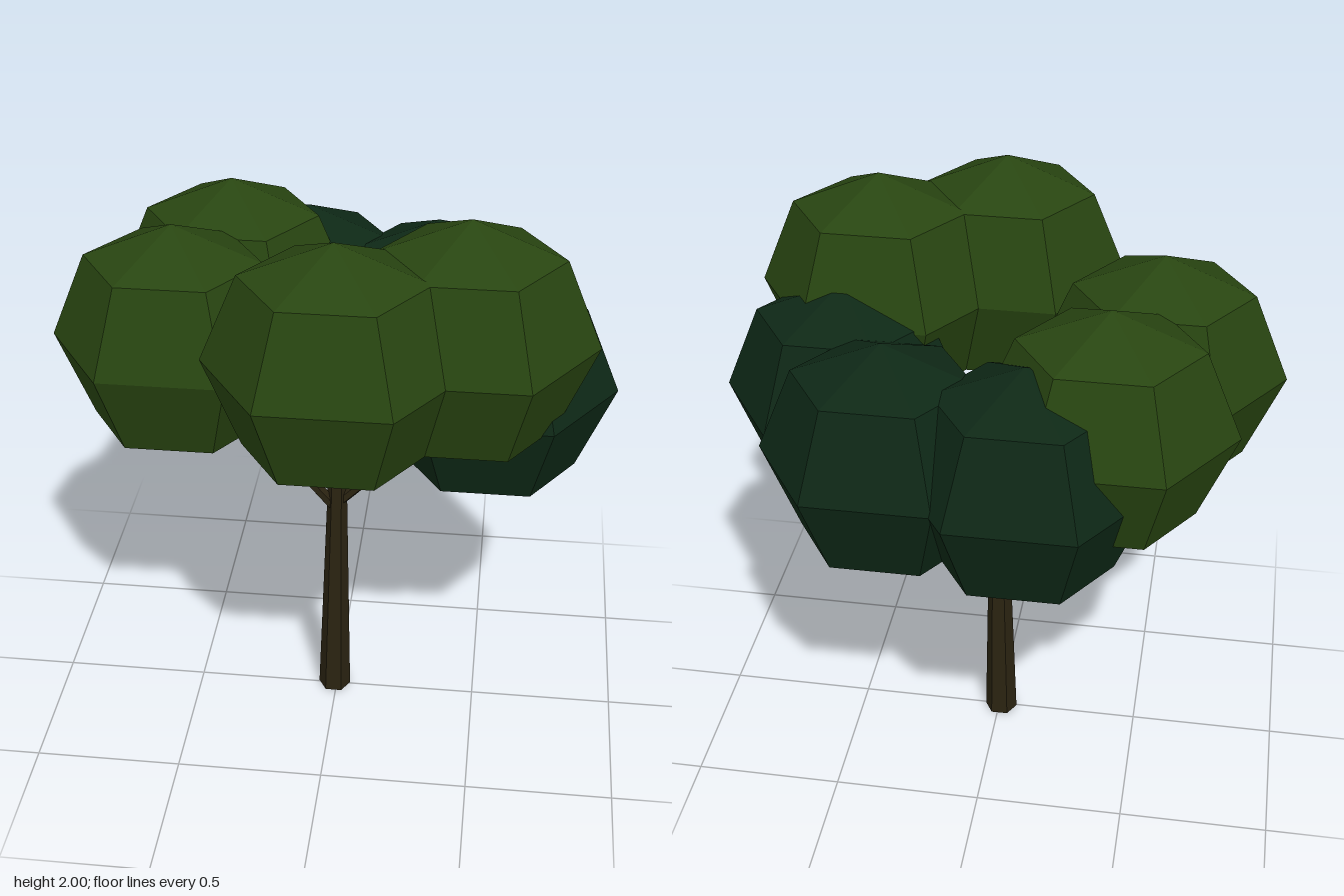
import * as THREE from 'three';

const material = (name, color) => {
  const m = new THREE.MeshStandardMaterial({ color, flatShading: true });
  m.name = name;
  return m;
};

// Tapered, slightly leaning limb between two points with horizontal or square-cut ends
function limb(from, to, r0, r1, sides, mat, name) {
  const a = new THREE.Vector3(...from), b = new THREE.Vector3(...to);
  const dir = b.clone().sub(a);
  const geo = new THREE.CylinderGeometry(r1, r0, dir.length(), sides);
  geo.rotateY(Math.PI / 6);
  const mesh = new THREE.Mesh(geo, mat);
  mesh.quaternion.setFromUnitVectors(new THREE.Vector3(0, 1, 0), dir.normalize());
  mesh.position.copy(a).add(b).multiplyScalar(0.5);
  mesh.name = name;
  return mesh;
}

export function createModel() {
  const tree = new THREE.Group();
  tree.name = 'tree';
  const bark = material('bark brown', 0x2a2311);
  const light = material('light leaf green', 0x284511);
  const dark = material('dark leaf green', 0x0e2816);

  // Trunk
  tree.add(limb([-0.008, 0, -0.005], [0.004, 1.06, 0], 0.057, 0.028, 6, bark, 'trunk'));

  // Leaf clumps: centre, branch start height, colour
  const clumps = [
    [[0.04, 1.59, 0.435], 1.03, light],
    [[0.43, 1.59, 0.232], 1.03, light],
    [[-0.515, 1.45, 0.068], 0.78, light],
    [[-0.385, 1.45, -0.31], 1.01, light],
    [[-0.145, 1.31, -0.44], 0.9, dark],
    [[0.305, 1.31, -0.367], 0.9, dark],
    [[0.51, 1.31, -0.005], 0.81, dark],
  ];
  const leafShape = new THREE.SphereGeometry(0.41, 6, 4).scale(1, 1, 0.865);

  clumps.forEach(([centre, startY, mat], i) => {
    const leaves = new THREE.Mesh(leafShape, mat);
    leaves.position.set(...centre);
    leaves.name = `leafClump${i + 1}`;
    // Each clump is carried by its own branch
    tree.add(leaves, limb([0.002, startY, 0], centre, 0.022, 0.012, 6, bark, `branch${i + 1}`));
  });
  return tree;
}
